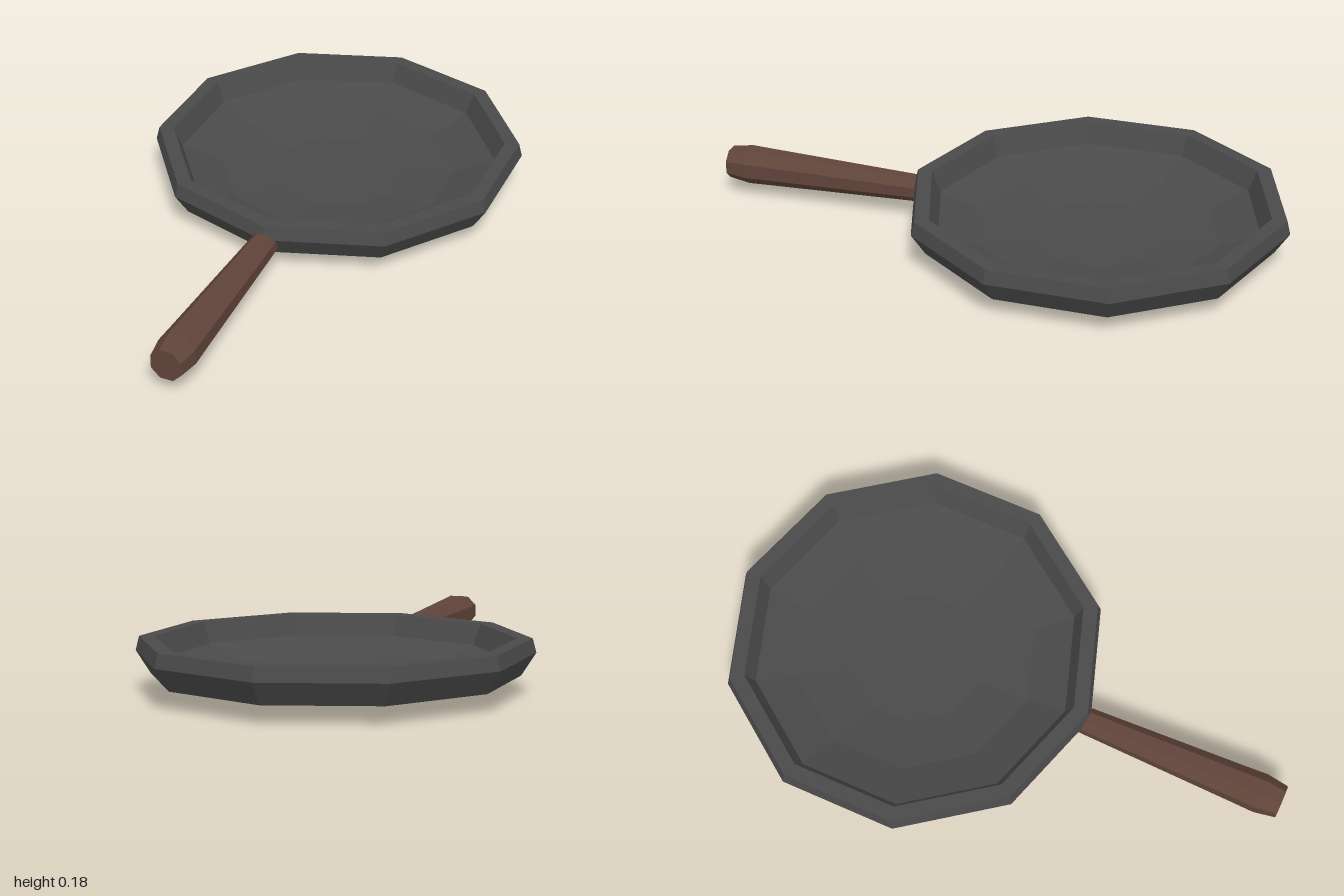
import * as THREE from 'three';

// Faceted solid of revolution from [radius, height] pairs
function turned(name, profile, sides, color) {
  const points = profile.map(([r, y]) => new THREE.Vector2(r, y));
  const material = new THREE.MeshStandardMaterial({ color });
  material.flatShading = true;
  const mesh = new THREE.Mesh(new THREE.LatheGeometry(points, sides), material);
  mesh.name = name;
  return mesh;
}

export function createModel() {
  const group = new THREE.Group();
  group.name = 'fryingPan';

  // Ten-sided bowl: underside, flared wall, rim, then the dished inside
  const pan = turned('pan', [
    [0, 0], [0.25, 0], [0.605, 0.06], [0.653, 0.135], [0.641, 0.182],
    [0.59, 0.182], [0.56, 0.11], [0.42, 0.06], [0.24, 0.035], [0, 0.03],
  ], 10, 0x4a4a4a);
  pan.position.z = -0.35;
  group.add(pan);

  // Eight-sided handle, flat side up, swelling towards its chamfered end
  const flat = 1 / Math.cos(Math.PI / 8);
  const handle = turned('handle', [
    [0, 0.25], [0.042, 0.25], [0.06, 0.84], [0.063, 0.925], [0.052, 1], [0, 1],
  ].map(([r, z]) => [r * flat, z]), 8, 0x60443a);
  handle.geometry.rotateY(Math.PI / 8).rotateX(Math.PI / 2);
  handle.position.set(-0.003, 0.109, 0);
  group.add(handle);

  return group;
}
